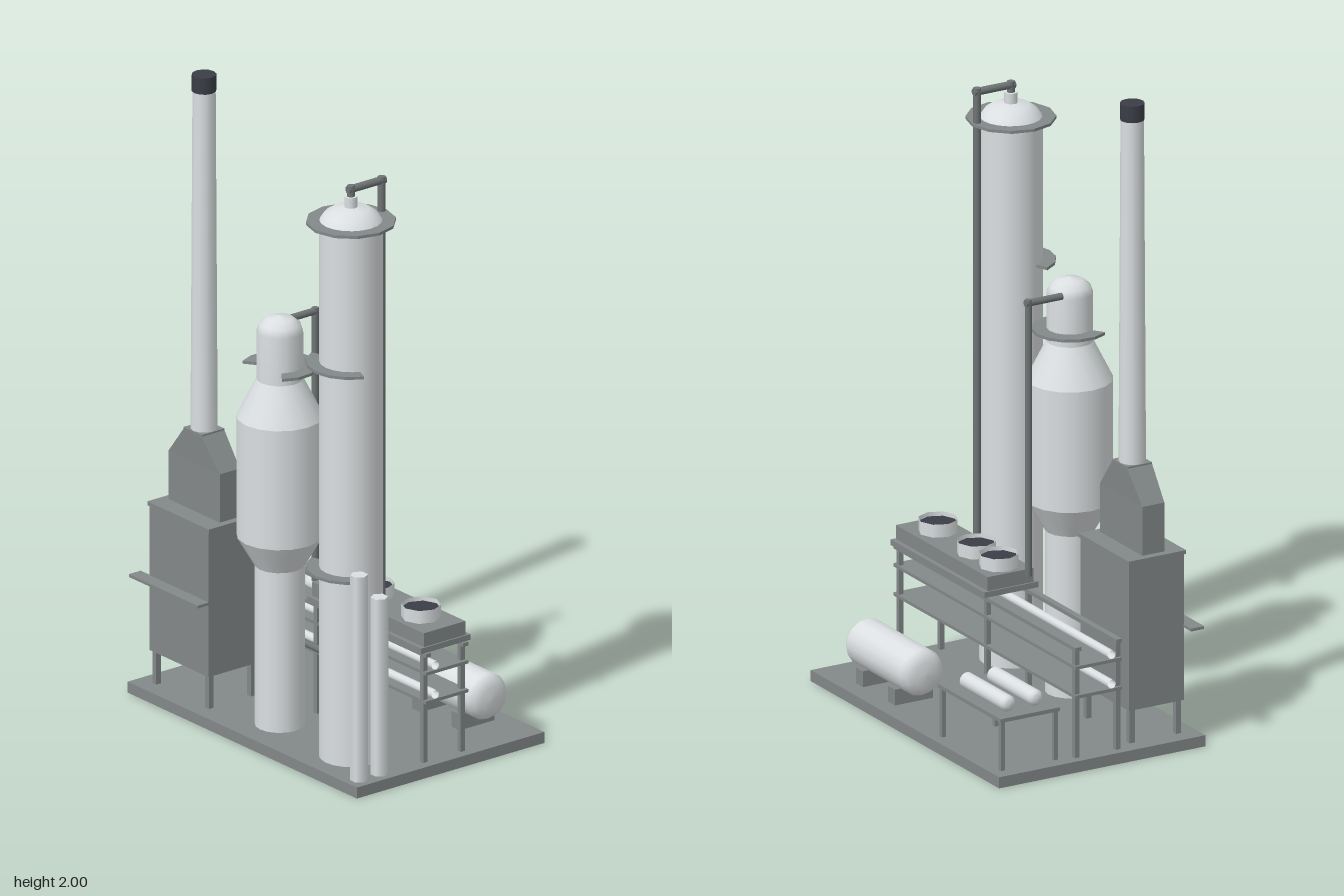
import * as THREE from 'three';

const mat = (name, color, side = THREE.FrontSide) => {
  const m = new THREE.MeshStandardMaterial({ color, side });
  m.name = name;
  return m;
};

export function createModel() {
  const model = new THREE.Group();
  model.name = 'refineryUnit';
  const shell = mat('pale metal', 0xdbdfe1, THREE.DoubleSide);
  const steel = mat('grey steel', 0x838888);
  const pipeGrey = mat('pipe grey', 0x6f7475);
  const dark = mat('dark', 0x3a3e46);

  const add = (name, geo, material, x = 0, y = 0, z = 0) => {
    const m = new THREE.Mesh(geo, material);
    m.name = name;
    m.position.set(x, y, z);
    model.add(m);
    return m;
  };
  // box given by its min and max on each axis
  const box = (name, x0, x1, y0, y1, z0, z1) =>
    add(name, new THREE.BoxGeometry(x1 - x0, y1 - y0, z1 - z0), steel,
      (x0 + x1) / 2, (y0 + y1) / 2, (z0 + z1) / 2);
  // vertical turned body from [radius, height] points
  const turned = (name, pts, x, z, sides = 16) =>
    add(name, new THREE.LatheGeometry(pts.map(p => new THREE.Vector2(...p)), sides), shell, x, 0, z);
  // straight pipe runs, overlapping by one radius at the corners
  const pipe = (name, pts, r, material, open = false) => {
    const v = pts.map(p => new THREE.Vector3(...p));
    for (let i = 0; i < v.length - 1; i++) {
      const d = v[i + 1].clone().sub(v[i]);
      const m = add(name, new THREE.CylinderGeometry(r, r, d.length() + 2 * r, 10, 1, open), material);
      m.position.copy(v[i]).addScaledVector(d, 0.5);
      m.quaternion.setFromUnitVectors(new THREE.Vector3(0, 1, 0), d.normalize());
    }
  };
  // flat platform around a vessel; angles in degrees, 90 points to the front
  const platform = (name, x, y, z, rIn, rOut, a0, a1, steps) => {
    const pts = [];
    const arc = (r, i) => {
      const a = THREE.MathUtils.degToRad(a0 + (a1 - a0) * i / steps);
      pts.push(new THREE.Vector2(r * Math.cos(a), r * Math.sin(a)));
    };
    for (let i = 0; i <= steps; i++) arc(rOut, i);
    for (let i = steps; i >= 0; i--) arc(rIn, i);
    const g = new THREE.ExtrudeGeometry(new THREE.Shape(pts), { depth: 0.009, bevelEnabled: false });
    g.rotateX(Math.PI / 2);
    add(name, g, steel, x, y + 0.0045, z);
  };

  box('basePlate', -0.545, 0.543, 0, 0.035, -0.358, 0.355);

  // Tall column with its platforms and overhead line
  const cx = 0.33, cz = 0.207;
  turned('column', [[0.095, 0.035], [0.095, 1.745], [0.095, 1.745], [0.079, 1.768], [0.054, 1.784], [0, 1.792]], cx, cz, 20);
  turned('columnNozzle', [[0.02, 1.78], [0.02, 1.822], [0.02, 1.822], [0, 1.822]], cx, cz, 12);
  platform('columnTopPlatform', cx, 1.742, cz, 0.09, 0.135, 0.1, 359.9, 12);
  for (const y of [1.292, 0.637]) platform('columnPlatform', cx, y, cz, 0.09, 0.135, 22, 158, 6);
  pipe('overheadPipe', [[cx, 1.8, cz], [cx, 1.844, cz], [cx, 1.844, 0.09], [cx, 0.46, 0.09]], 0.012, pipeGrey);

  // Bulged reactor vessel
  const vz = 0.213;
  turned('reactor', [[0.075, 0.035], [0.075, 0.545], [0.075, 0.545], [0.13, 0.64], [0.13, 0.64], [0.13, 1.02], [0.13, 1.02],
    [0.07, 1.14], [0.07, 1.14], [0.07, 1.29], [0.062, 1.314], [0.04, 1.332], [0, 1.34]], 0, vz);
  platform('reactorPlatform', 0, 1.177, vz, 0.066, 0.115, 145, 395, 10);
  pipe('reactorPipe', [[-0.04, 1.3, 0.15], [-0.04, 1.3, 0.046], [-0.04, 0.45, 0.046]], 0.011, pipeGrey);

  // Fired heater: firebox, upper section, tapering hood and stack
  const fx = -0.357, fz = 0.215;
  box('firebox', -0.497, -0.217, 0.14, 0.605, 0.12, 0.31);
  box('fireboxRim', -0.503, -0.211, 0.602, 0.614, 0.116, 0.314);
  for (const x of [-0.482, -0.232]) for (const z of [0.135, 0.295])
    box('heaterLeg', x - 0.009, x + 0.009, 0.035, 0.14, z - 0.009, z + 0.009);
  box('heaterUpperSection', -0.479, -0.235, 0.61, 0.768, 0.177, 0.253);
  const hood = new THREE.BoxGeometry(0.244, 0.097, 0.076).toNonIndexed();
  const p = hood.attributes.position;
  for (let i = 0; i < p.count; i++) if (p.getY(i) > 0) {
    p.setX(i, Math.sign(p.getX(i)) * 0.043);
    p.setZ(i, Math.sign(p.getZ(i)) * 0.043);
  }
  hood.computeVertexNormals();
  add('heaterHood', hood, steel, fx, 0.8165, fz);
  box('hoodFlange', fx - 0.043, fx + 0.043, 0.862, 0.87, fz - 0.043, fz + 0.043);
  add('stack', new THREE.CylinderGeometry(0.035, 0.041, 1.085, 12), shell, fx, 1.4075, fz);
  add('stackTip', new THREE.CylinderGeometry(0.037, 0.037, 0.052, 12), dark, fx, 1.974, fz);
  box('heaterWalkway', -0.542, -0.216, 0.37, 0.379, 0.308, 0.353);
  pipe('transferPipe', [[-0.224, 0.27, 0.117], [0.239, 0.27, 0.117]], 0.011, pipeGrey);

  // Pipe rack with two decks, top rails and pipes
  for (const x of [-0.51, 0, 0.505]) for (const z of [-0.072, 0.07])
    box('rackPost', x - 0.008, x + 0.008, 0.035, 0.385, z - 0.008, z + 0.008);
  for (const y of [0.23, 0.322]) box('rackDeck', -0.527, 0.525, y - 0.005, y + 0.005, -0.083, 0.077);
  for (const z of [-0.073, 0.068]) box('rackRail', -0.527, 0.525, 0.374, 0.386, z - 0.01, z + 0.01);
  for (const y of [0.342, 0.249]) pipe('rackPipe', [[-0.513, y, 0.042], [0.511, y, 0.042]], 0.014, shell, true);

  // Air cooler on the rack
  box('coolerFrame', -0.02, 0.52, 0.388, 0.406, -0.095, 0.092);
  box('coolerBox', -0.015, 0.515, 0.406, 0.45, -0.08, 0.078);
  for (const x of [0.055, 0.184, 0.405]) {
    add('fanShroud', new THREE.CylinderGeometry(0.06, 0.06, 0.042, 8, 1, true), shell, x, 0.47, 0);
    add('fanDisc', new THREE.CylinderGeometry(0.059, 0.059, 0.008, 8), dark, x, 0.474, 0);
  }

  // Horizontal bodies lying along x
  const lying = (name, half, profile, x, y, z) => {
    const pts = [[0, -half], ...profile.map(([r, t]) => [r, -half + t]),
      ...profile.slice().reverse().map(([r, t]) => [r, half - t]), [0, half]];
    const m = turned(name, pts, x, z);
    m.position.y = y;
    m.rotation.z = -Math.PI / 2;
  };
  lying('drum', 0.186, [[0.038, 0.002], [0.063, 0.013], [0.073, 0.03]], 0.263, 0.141, -0.237);
  for (const x of [0.17, 0.356]) box('drumSaddle', x - 0.02, x + 0.02, 0.035, 0.085, -0.302, -0.17);

  // Exchanger table
  box('exchangerTable', -0.507, -0.143, 0.189, 0.201, -0.33, -0.125);
  for (const x of [-0.495, -0.153]) for (const z of [-0.319, -0.135])
    box('tableLeg', x - 0.007, x + 0.007, 0.035, 0.19, z - 0.007, z + 0.007);
  for (const z of [-0.275, -0.18]) lying('exchanger', 0.132, [[0.012, 0.001], [0.019, 0.005], [0.025, 0.013]], -0.339, 0.226, z);

  // Upright storage bottles
  for (const [z, top] of [[0.31, 0.69], [0.233, 0.6]])
    add('bottle', new THREE.CylinderGeometry(0.027, 0.027, top - 0.035, 6).rotateY(Math.PI / 6),
      shell, 0.497, (top + 0.035) / 2, z);

  return model;
}
